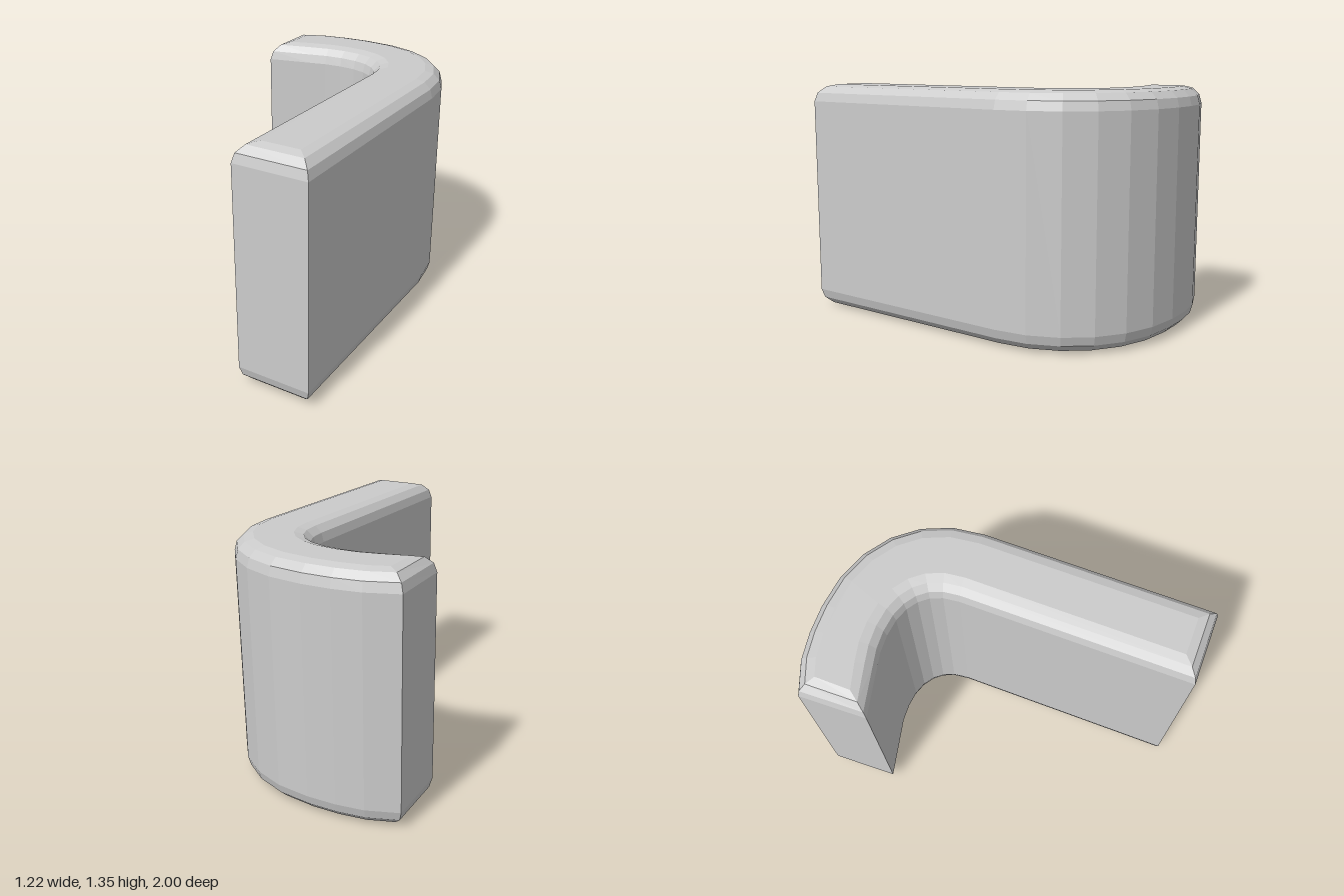
import * as THREE from 'three';

const BEVEL = 0.1;
const HEIGHT = 1.345;

// Plan outline (x, z) of the flat top; the bevel grows it outward.
function hookOutline() {
  const v = (x, z) => new THREE.Vector2(x, z);
  const bend = (...p) => new THREE.CubicBezierCurve(...p).getPoints(6);
  return [
    // end of the straight arm
    v(0.29, 0.9), v(0.51, 0.9),
    // outer bend
    ...bend(v(0.51, -0.33), v(0.51, -0.68), v(0.25, -0.9), v(-0.12, -0.9)),
    // short arm: outer side, end, inner side
    v(-0.27, -0.895), v(-0.41, -0.873), v(-0.51, -0.834),
    v(-0.51, -0.635), v(-0.36, -0.678), v(-0.25, -0.703),
    // inner bend
    ...bend(v(-0.13, -0.71), v(0.12, -0.71), v(0.29, -0.57), v(0.29, -0.33)),
  ];
}

export function createModel() {
  const group = new THREE.Group();
  group.name = 'curvedWall';

  // Extrude the outline downward, with rounded rims at top and bottom
  const geometry = new THREE.ExtrudeGeometry(new THREE.Shape(hookOutline()), {
    depth: HEIGHT - 2 * BEVEL,
    bevelThickness: BEVEL,
    bevelSize: BEVEL,
    bevelSegments: 3,
  });
  geometry.rotateX(Math.PI / 2);
  geometry.translate(0, HEIGHT - BEVEL, 0);

  const material = new THREE.MeshStandardMaterial({ color: 0xcccccc, flatShading: true });
  const wall = new THREE.Mesh(geometry, material);
  wall.name = 'hookedWall';
  group.add(wall);
  return group;
}
